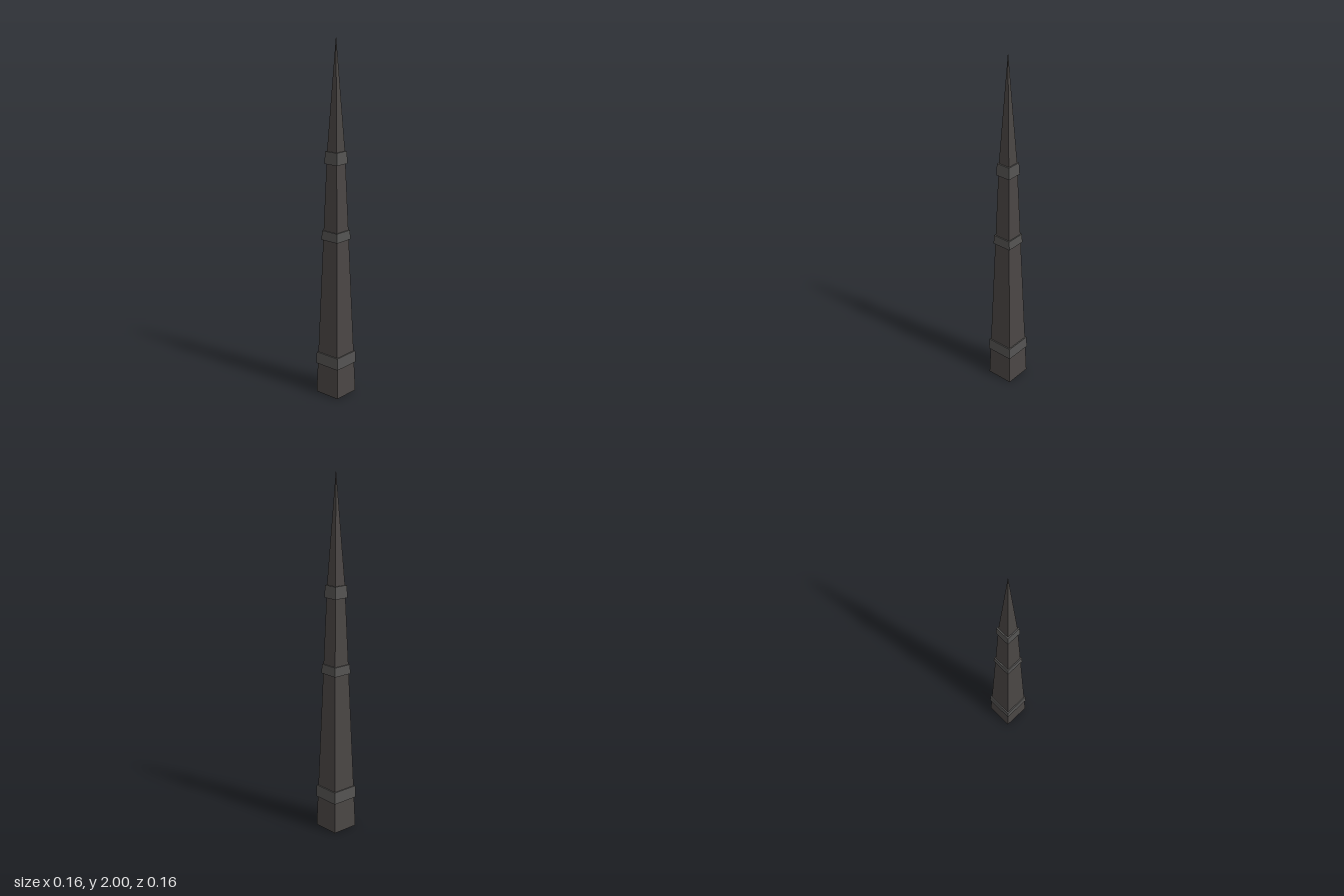
import * as THREE from 'three';

// Square tapered block from y0 to y1, given half-widths at bottom and top
function taperedBlock(name, y0, y1, halfBottom, halfTop, material) {
  const r = Math.SQRT2;
  const geo = new THREE.CylinderGeometry(halfTop * r, halfBottom * r, y1 - y0, 4, 1, false, Math.PI / 4);
  geo.translate(0, (y0 + y1) / 2, 0);
  const mesh = new THREE.Mesh(geo, material);
  mesh.name = name;
  return mesh;
}

export function createModel() {
  const stone = new THREE.MeshStandardMaterial({ color: 0x4a4644, flatShading: true });
  const trim = new THREE.MeshStandardMaterial({ color: 0x545352, flatShading: true });
  const group = new THREE.Group();
  group.name = 'spire';

  // Long shaft with an even taper, then the steeper pointed cap
  group.add(taperedBlock('shaft', 0, 1.37, 0.078, 0.0345, stone));
  group.add(taperedBlock('pointedCap', 1.37, 2, 0.0352, 0, stone));

  // Projecting bands: [name, bottom, top, half-width at bottom, half-width at top]
  const bands = [
    ['lowerBand', 0.175, 0.243, 0.079, 0.077],
    ['middleBand', 0.903, 0.955, 0.056, 0.054],
    ['upperBand', 1.325, 1.393, 0.044, 0.041],
  ];
  for (const band of bands) group.add(taperedBlock(...band, trim));

  return group;
}
